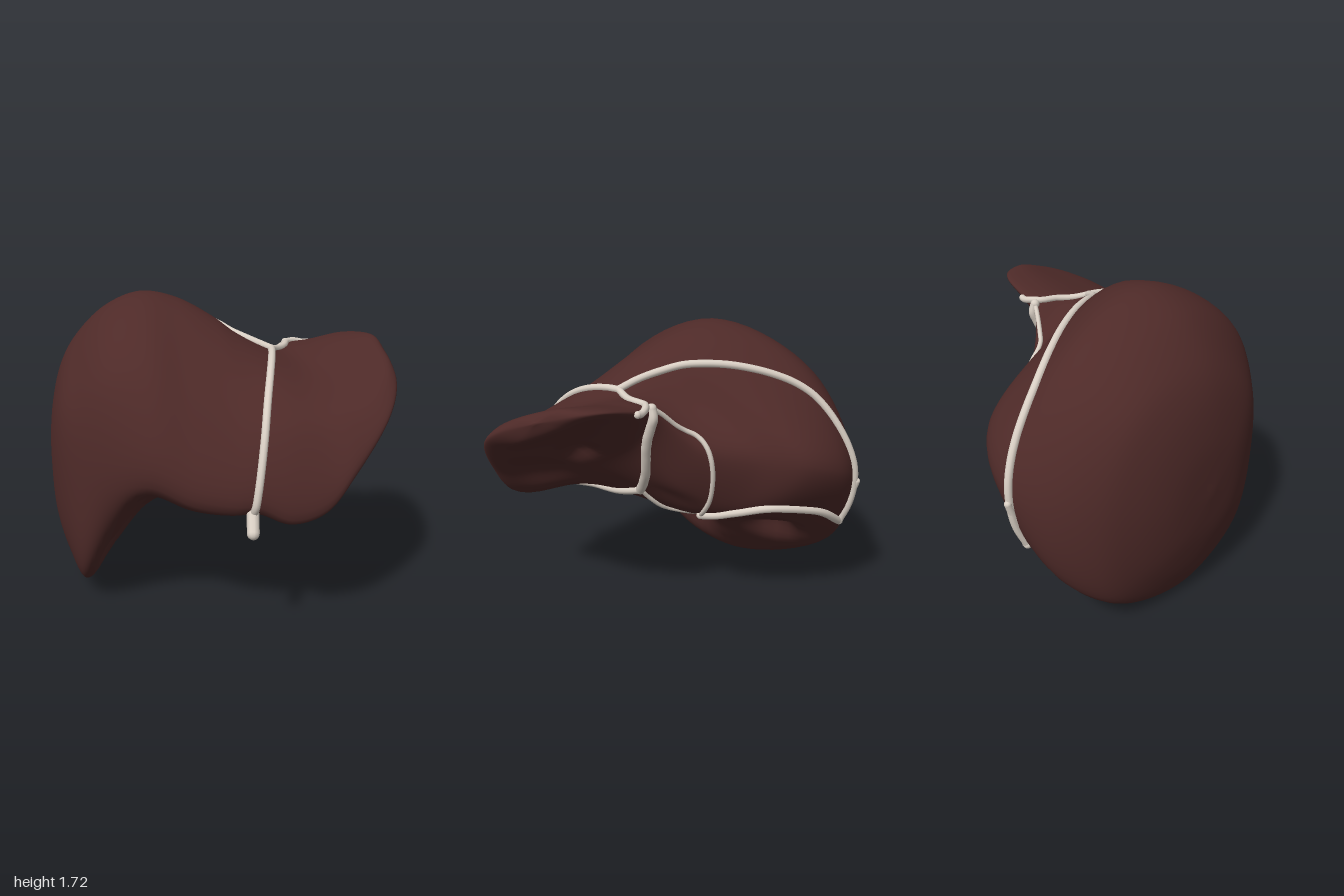
import * as THREE from 'three';
import { mergeVertices } from 'three/addons/utils/BufferGeometryUtils.js';

const tissue = new THREE.MeshStandardMaterial({ color: 0x4e2a28 });
const fibre = new THREE.MeshStandardMaterial({ color: 0xd9cfc4 });

// Cross-sections: x, then eight (z, y) pairs running front edge, top, back, underside
const rightLobe = [
  [-0.925, .2, .75, .15, .98, -.05, 1.08, -.27, 1.0, -.36, .75, -.27, .5, -.05, .43, .14, .51],
  [-0.86, .39, .75, .31, 1.15, -.03, 1.33, -.42, 1.19, -.57, .8, -.47, .36, -.08, .16, .3, .35],
  [-0.77, .52, .78, .42, 1.23, 0, 1.48, -.52, 1.32, -.73, .82, -.62, .23, -.06, .01, .42, .22],
  [-0.6, .67, .82, .53, 1.38, 0, 1.65, -.6, 1.42, -.88, .85, -.77, .32, -.1, .16, .48, .45],
  [-0.4, .79, .86, .6, 1.41, 0, 1.73, -.6, 1.49, -.95, .9, -.82, .5, -.15, .38, .5, .7],
  [-0.2, .86, .78, .66, 1.31, .05, 1.7, -.5, 1.48, -.93, .97, -.74, .65, -.2, .52, .5, .67],
  [0, .9, .75, .72, 1.23, .15, 1.6, -.35, 1.42, -.79, 1.05, -.58, .74, -.2, .62, .5, .69],
];
const leftLobe = [
  [0.12, .91, .75, .78, 1.18, .2, 1.52, -.18, 1.33, -.51, 1.08, -.38, .78, -.17, .68, .5, .74],
  [0.28, .94, .69, .82, 1.17, .24, 1.44, -.03, 1.34, -.26, 1.14, -.15, .9, .05, .87, .55, .79],
  [0.45, .96, .75, .82, 1.17, .3, 1.39, .05, 1.42, -.08, 1.38, 0, 1.2, .2, 1.06, .62, .83],
  [0.6, .94, .94, .81, 1.19, .4, 1.37, .1, 1.44, -.05, 1.42, .05, 1.3, .3, 1.15, .67, .95],
  [0.8, .8, 1.17, .69, 1.29, .4, 1.41, .15, 1.48, -.01, 1.47, .1, 1.39, .35, 1.27, .64, 1.16],
  [0.91, .6, 1.3, .5, 1.38, .33, 1.45, .18, 1.49, .09, 1.47, .18, 1.4, .32, 1.33, .47, 1.28],
];

// Hollows pressed by neighbouring organs: centre, radius, depth
const hollows = [
  [-0.55, .38, .22, .24, .11],
  [-0.35, .46, -.46, .2, .12],
  [0.52, .98, .62, .22, .06],
  [0.58, 1.17, .33, .11, .05],
];

function bodyGeometry() {
  const ROWS = 112, RING = 72;
  const sections = [...rightLobe, ...leftLobe];
  const startTip = new THREE.Vector3(-0.95, .75, -.06);
  const endTip = new THREE.Vector3(0.95, 1.41, .32);
  const rails = [];
  for (let k = 0; k < 8; k++) {
    const pts = sections.map(s => new THREE.Vector3(s[0], s[2 + 2 * k], s[1 + 2 * k]));
    rails.push(new THREE.CatmullRomCurve3([startTip, ...pts, endTip]));
  }
  const pos = [], idx = [];
  for (let i = 0; i <= ROWS; i++) {
    const ring = rails.map(r => r.getPoint(i / ROWS));
    const tip = i === 0 ? startTip : i === ROWS ? endTip : null;
    const loop = new THREE.CatmullRomCurve3(ring, true);
    for (let j = 0; j < RING; j++) {
      const p = tip || loop.getPoint(j / RING);
      pos.push(p.x, p.y, p.z);
      if (i === ROWS) continue;
      const a = i * RING + j, b = i * RING + (j + 1) % RING;
      if (i < ROWS - 1) idx.push(a, a + RING, b + RING);
      else idx.push(a, a + RING, b);
      if (i > 0 && i < ROWS - 1) idx.push(a, b + RING, b);
    }
  }
  let geo = new THREE.BufferGeometry();
  geo.setAttribute('position', new THREE.Float32BufferAttribute(pos, 3));
  geo.setIndex(idx);
  geo = mergeVertices(geo, 1e-5);
  geo.computeVertexNormals();

  // press the hollows into the underside
  const P = geo.attributes.position, N = geo.attributes.normal;
  const p = new THREE.Vector3(), n = new THREE.Vector3();
  for (let i = 0; i < P.count; i++) {
    p.fromBufferAttribute(P, i);
    n.fromBufferAttribute(N, i);
    if (n.y > 0.2 || n.x < -0.3) continue;
    for (const [x, y, z, r, depth] of hollows) {
      const d = Math.hypot(p.x - x, p.y - y, p.z - z) / r;
      p.addScaledVector(n, -depth * Math.exp(-2 * d ** 3));
    }
    P.setXYZ(i, p.x, p.y, p.z);
  }
  geo.computeVertexNormals();
  return geo;
}

// Moves a point onto the tangent plane of the nearest body vertex
function snap(point, geo) {
  const P = geo.attributes.position, N = geo.attributes.normal;
  const v = new THREE.Vector3(), n = new THREE.Vector3();
  let best = 0, bestD = Infinity;
  for (let i = 0; i < P.count; i++) {
    const d = v.fromBufferAttribute(P, i).distanceToSquared(point);
    if (d < bestD) { bestD = d; best = i; }
  }
  v.fromBufferAttribute(P, best);
  n.fromBufferAttribute(N, best);
  return point.clone().addScaledVector(n, 0.006 - point.clone().sub(v).dot(n));
}

// Ligament: a tube with rounded ends laid along the surface
function ligament(name, geo, radius, points) {
  const group = new THREE.Group();
  group.name = name;
  const guide = new THREE.CatmullRomCurve3(points.map(p => new THREE.Vector3(...p)));
  const path = new THREE.CatmullRomCurve3(guide.getSpacedPoints(16).map(p => snap(p, geo)));
  group.add(new THREE.Mesh(new THREE.TubeGeometry(path, 80, radius, 10), fibre));
  for (const t of [0, 1]) {
    const end = new THREE.Mesh(new THREE.SphereGeometry(radius, 12, 8), fibre);
    end.position.copy(path.getPoint(t));
    group.add(end);
  }
  return group;
}

// Small free stump where a ligament leaves the body
function stump(name, from, to, radius) {
  const path = new THREE.LineCurve3(new THREE.Vector3(...from), new THREE.Vector3(...to));
  const mesh = new THREE.Mesh(new THREE.CapsuleGeometry(radius, path.getLength(), 5, 10), fibre);
  mesh.name = name;
  mesh.position.copy(path.getPoint(0.5));
  mesh.quaternion.setFromUnitVectors(new THREE.Vector3(0, 1, 0), path.getTangent(0));
  return mesh;
}

export function createModel() {
  const model = new THREE.Group();
  model.name = 'liver';
  const geo = bodyGeometry();
  const body = new THREE.Mesh(geo, tissue);
  body.name = 'lobes';
  model.add(body);

  model.add(
    ligament('frontLigament', geo, .021,
      [[.09, .72, .92], [.11, .85, .92], [.16, 1.12, .82], [.24, 1.35, .52], [.32, 1.45, .23]]),
    ligament('leftUpperLigament', geo, .02,
      [[.32, 1.45, .23], [.42, 1.43, .08], [.48, 1.41, -.03], [.6, 1.41, -.06]]),
    ligament('rightUpperLigament', geo, .022,
      [[.32, 1.46, .23], [.2, 1.5, .15], [.08, 1.55, .0], [-.1, 1.54, -.33], [-.28, 1.4, -.7],
        [-.35, 1.1, -.92], [-.38, .85, -.96], [-.4, .56, -.9]]),
    ligament('rightLowerLigament', geo, .025,
      [[-.4, .55, -.9], [-.22, .7, -.8], [-.02, .77, -.6], [.05, .74, -.4], [.1, .67, -.18]]),
    ligament('rearLoopLigament', geo, .014,
      [[.45, 1.38, -.06], [.3, 1.3, -.2], [.24, 1.1, -.3], [.18, .85, -.28], [.1, .67, -.18]]),
    ligament('innerLigament', geo, .028,
      [[.47, 1.4, -.06], [.42, 1.2, 0], [.32, 1.0, .05], [.22, .86, .14]]),
    ligament('lowerInnerLigament', geo, .014,
      [[.22, .86, .14], [.1, .74, .06], [0, .67, -.02], [-.1, .63, -.06]]),
    ligament('undersideLigament', geo, .024,
      [[.22, .86, .14], [.17, .78, .4], [.12, .73, .7], [.09, .72, .9]]),
    stump('frontStump', [.09, .74, .9], [.08, .665, .965], .032),
    stump('rearStump', [-.4, .56, -.89], [-.385, .85, -.975], .02),
  );
  return model;
}
